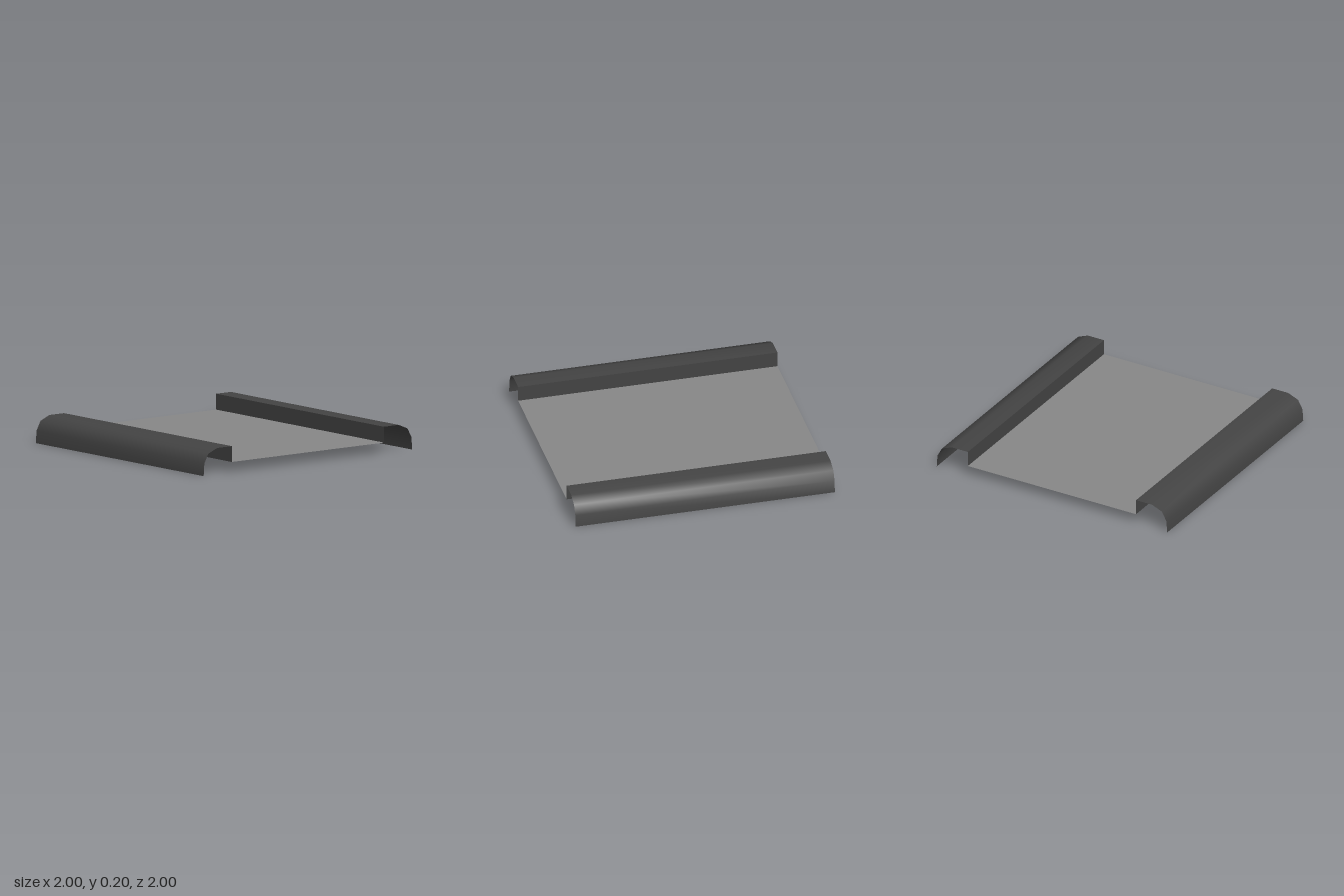
import * as THREE from 'three';

// Sweep an open [x, y] section along z; left-to-right sections face up
function sheet(name, section, material) {
  const positions = [];
  const index = [];
  section.forEach(([x, y], i) => {
    positions.push(x, y, 1, x, y, -1);
    if (i < section.length - 1) {
      const a = i * 2;
      index.push(a, a + 2, a + 3, a, a + 3, a + 1);
    }
  });
  const geometry = new THREE.BufferGeometry();
  geometry.setAttribute('position', new THREE.Float32BufferAttribute(positions, 3));
  geometry.setIndex(index);
  geometry.computeVertexNormals();
  const mesh = new THREE.Mesh(geometry, material);
  mesh.name = name;
  return mesh;
}

export function createModel() {
  const floorGrey = new THREE.MeshStandardMaterial({ color: 0x888888, side: THREE.DoubleSide });
  floorGrey.name = 'floor grey';
  const railGrey = new THREE.MeshStandardMaterial({ color: 0x444444, side: THREE.DoubleSide });
  railGrey.name = 'rail dark grey';

  const inner = 0.73, floorY = 0.08, topY = 0.2;
  const model = new THREE.Group();
  model.name = 'railedPanel';

  // Flat deck between the rails
  model.add(sheet('floor', [[-inner, floorY], [inner, floorY]], floorGrey));

  // Mirrored rails: upright inner wall and a smooth cover curving down outside
  const wall = [[inner, floorY], [inner, topY]];
  const cover = [[inner, topY], [0.87, topY], [0.955, 0.165], [0.993, 0.095], [1, 0]];
  for (const side of [1, -1]) {
    const place = (points) => {
      const placed = points.map(([x, y]) => [x * side, y]);
      return side > 0 ? placed : placed.reverse();
    };
    const rail = new THREE.Group();
    rail.name = side > 0 ? 'leftRail' : 'rightRail';
    rail.add(sheet('innerWall', place(wall), railGrey));
    rail.add(sheet('curvedCover', place(cover), railGrey));
    model.add(rail);
  }
  return model;
}
